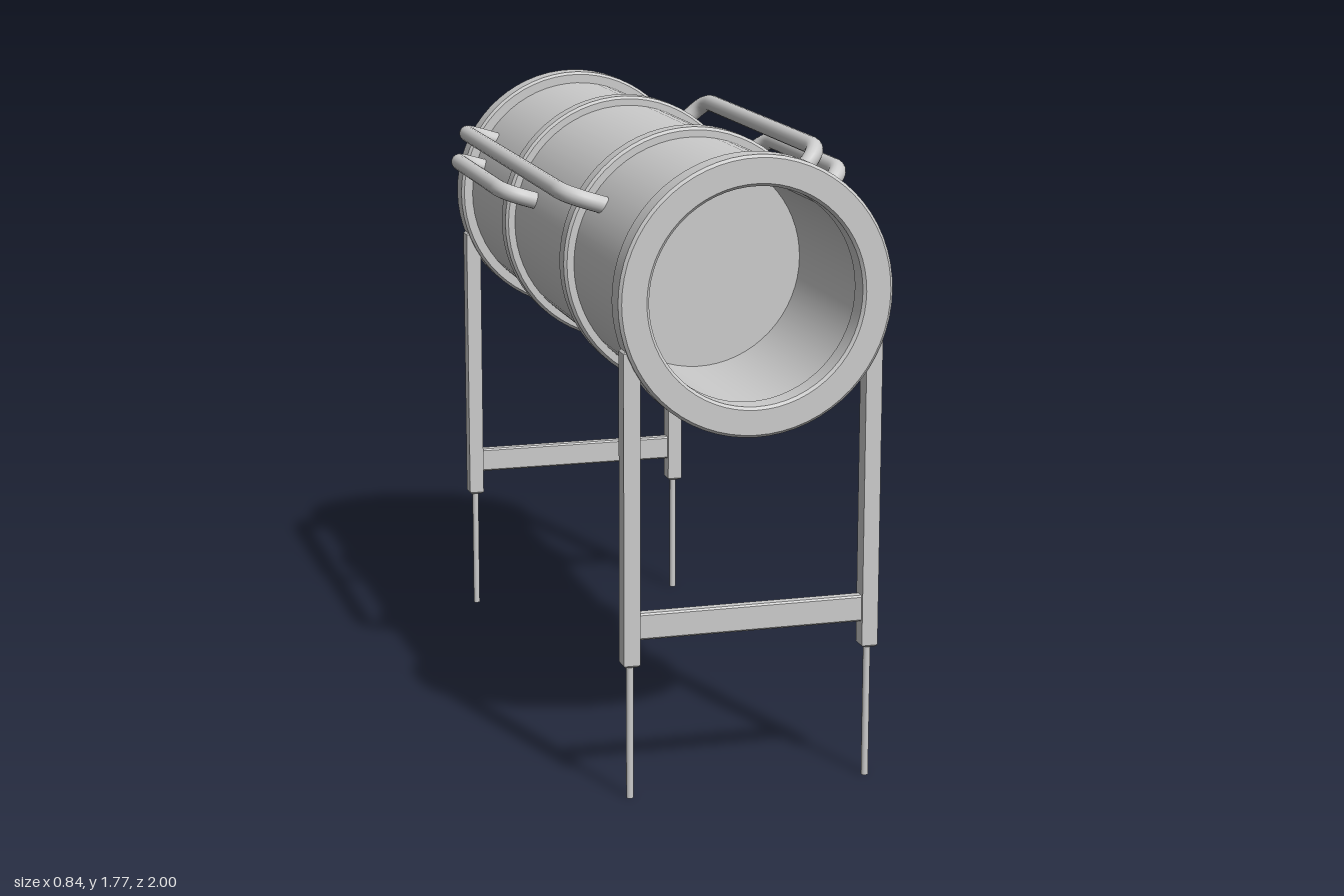
import * as THREE from 'three';
import { toCreasedNormals } from 'three/addons/utils/BufferGeometryUtils.js';

const CX = 0.03, CY = 1.39; // barrel axis

export function createModel() {
  const group = new THREE.Group();
  const material = new THREE.MeshStandardMaterial({ color: 0xcccccc });

  const add = (name, geometry, x = 0, y = 0, z = 0) => {
    const mesh = new THREE.Mesh(geometry, material);
    mesh.name = name;
    mesh.position.set(x, y, z);
    group.add(mesh);
    return mesh;
  };

  // Closed ring profile spun around the z axis, with small chamfers
  const ring = (inner, outer, length, c) => {
    const h = length / 2;
    const profile = [
      [inner + c, -h], [outer - c, -h], [outer, -h + c], [outer, h - c],
      [outer - c, h], [inner + c, h], [inner, h - c], [inner, -h + c], [inner + c, -h],
    ].map(([r, y]) => new THREE.Vector2(r, y));
    return toCreasedNormals(new THREE.LatheGeometry(profile, 64).rotateX(Math.PI / 2), 0.5);
  };

  // Box with chamfered edges, extruded along y
  const chamferedPost = (w, h, d, c) => {
    const x = w / 2 - c, y = d / 2 - c;
    const s = new THREE.Shape();
    s.moveTo(-x, -y).lineTo(x, -y).lineTo(x, y).lineTo(-x, y).closePath();
    const g = new THREE.ExtrudeGeometry(s, {
      depth: h - 2 * c, bevelEnabled: true, bevelSize: c, bevelThickness: c, bevelSegments: 1,
    });
    return g.translate(0, 0, c - h / 2).rotateX(-Math.PI / 2);
  };

  // Barrel, end flanges and reinforcing bands
  add('barrel', ring(0.303, 0.35, 1.96, 0.002), CX, CY, 0);
  for (const s of [1, -1]) {
    add('endFlange', ring(0.3, 0.385, 0.08, 0.008), CX, CY, s * 0.96);
    add('band', ring(0.34, 0.378, 0.065, 0.008), CX, CY, s * 0.36);
  }

  // Solid core closing the bore between the two open ends
  add('innerCore', new THREE.CylinderGeometry(0.304, 0.304, 0.9, 64).rotateX(Math.PI / 2), CX, CY, 0);

  // Leg frames at both ends
  for (const z of [0.96, -0.96]) {
    for (const x of [-0.315, 0.37]) {
      add('leg', chamferedPost(0.046, 0.88, 0.05, 0.006), x, 0.82, z);
      add('legPin', new THREE.CylinderGeometry(0.01, 0.01, 0.4, 16), x, 0.2, z);
    }
    const bar = add('crossbar', chamferedPost(0.66, 0.075, 0.034, 0.005), 0.0275, 0.492, z);
    bar.scale.x = 1;
  }

  // Rails: a straight run with rounded bends down to the barrel
  const rail = (name, base, top, z0, z1) => {
    const a = new THREE.Vector3(...base, z0), d = new THREE.Vector3(...base, z1);
    const b = new THREE.Vector3(...top, z0), c = new THREE.Vector3(...top, z1);
    const bend = 0.085, dz = Math.sign(z1 - z0) * bend;
    const b2 = b.clone().setZ(z0 + dz), c1 = c.clone().setZ(z1 - dz);
    const b1 = b.clone().lerp(a, 0.75), c2 = c.clone().lerp(d, 0.75);
    const path = new THREE.CurvePath();
    path.add(new THREE.LineCurve3(a, b1));
    path.add(new THREE.QuadraticBezierCurve3(b1, b, b2));
    path.add(new THREE.LineCurve3(b2, c1));
    path.add(new THREE.QuadraticBezierCurve3(c1, c, c2));
    path.add(new THREE.LineCurve3(c2, d));
    add(name, new THREE.TubeGeometry(path, 120, 0.025, 16));
    // End caps
    for (const [p, q] of [[a, b1], [d, c2]]) {
      const cap = add(name + 'End', new THREE.CircleGeometry(0.025, 16), p.x, p.y, p.z);
      cap.lookAt(p.clone().multiplyScalar(2).sub(q));
    }
  };
  rail('leftUpperRail', [0.24, 1.655], [0.317, 1.732], 0.67, -0.44);
  rail('leftLowerRail', [0.305, 1.6], [0.385, 1.668], 0.67, -0.02);
  rail('rightUpperRail', [-0.26, 1.575], [-0.37, 1.61], 0.51, -0.83);
  rail('rightLowerRail', [-0.3, 1.49], [-0.397, 1.52], -0.13, -0.83);

  return group;
}
